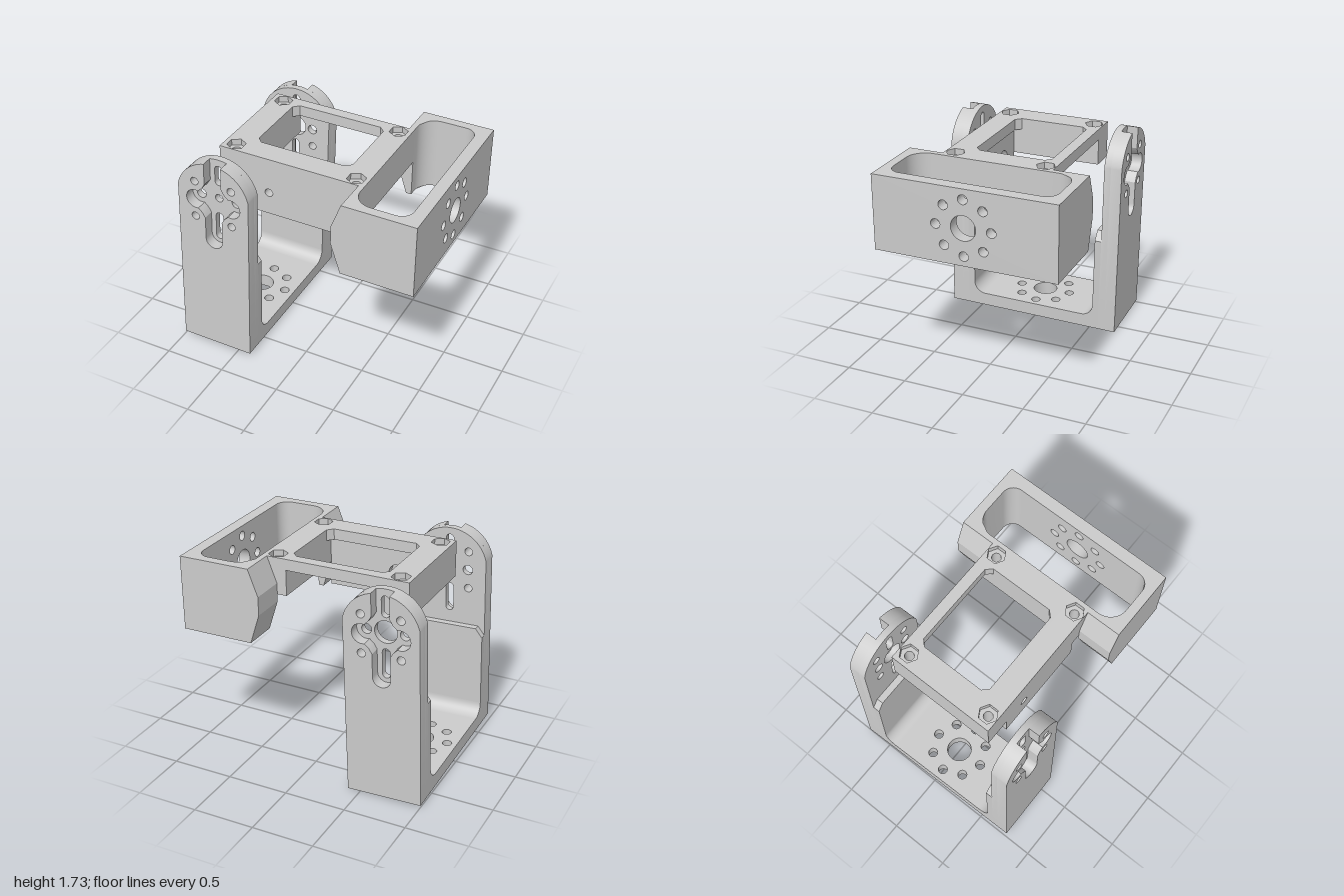
import * as THREE from 'three';
import { toCreasedNormals } from 'three/addons/utils/BufferGeometryUtils.js';

const material = new THREE.MeshStandardMaterial({ color: 0xcccccc });
const V = (x, y) => new THREE.Vector2(x, y);

// Points along an arc
function arc(cx, cy, r, a0, a1, n = 14) {
  return Array.from({ length: n + 1 }, (_, i) => {
    const a = a0 + ((a1 - a0) * i) / n;
    return V(cx + r * Math.cos(a), cy + r * Math.sin(a));
  });
}
const circle = (x, y, r, n = 28) => arc(x, y, r, Math.PI / 2, Math.PI * 2.5, n).slice(0, -1);
const hexagon = (x, y, r) => circle(x, y, r, 6);
const rect = (x0, y0, x1, y1) => [V(x0, y0), V(x1, y0), V(x1, y1), V(x0, y1)];
const slot = (x, y0, y1, r) => [...arc(x, y1 - r, r, 0, Math.PI), ...arc(x, y0 + r, r, Math.PI, Math.PI * 2)];

// Central bore with a ring of eight screw holes
function boltCircle(cx, cy) {
  const holes = [circle(cx, cy, 0.1)];
  for (let i = 0; i < 8; i++) {
    const a = (i * Math.PI) / 4;
    holes.push(circle(cx + 0.222 * Math.cos(a), cy + 0.222 * Math.sin(a), 0.038, 20));
  }
  return holes;
}

function extrude(outline, holes, depth, steps = 1) {
  const shape = new THREE.Shape(outline);
  shape.holes = holes.map((h) => new THREE.Path(h));
  return new THREE.ExtrudeGeometry(shape, { depth, steps, bevelEnabled: false });
}
function mesh(name, geometry) {
  const m = new THREE.Mesh(toCreasedNormals(geometry, 0.3), material);
  m.name = name;
  return m;
}
// Slab with its outline in x,y, from z0 towards +z
const upright = (name, outline, holes, z0, depth) =>
  mesh(name, extrude(outline, holes, depth).translate(0, 0, z0));
// Slab with its outline in x,z, from top downwards
const level = (name, outline, holes, top, depth) =>
  mesh(name, extrude(outline, holes, depth).rotateX(Math.PI / 2).translate(0, top, 0));

const W = 0.3025; // half width of the fork

// One fork arm, outer face towards +z
function forkArm(name, boreRadius) {
  const g = new THREE.Group();
  g.name = name;
  const cy = 1.392, R = 0.31, fy = 1.362, n = 0.072;
  const corner = Math.acos(W / R), notch = Math.acos(n / R);
  const screws = [];
  for (const sx of [-1, 1]) for (const sy of [-1, 1])
    screws.push(circle(sx * 0.157, fy + sy * 0.157, 0.033, 20));

  // Inner web with the through holes
  const outline = [V(-W, 0), V(W, 0), ...arc(0, cy, R, corner, Math.PI - corner, 32)];
  g.add(upright('armWeb', outline, [
    ...screws,
    circle(0, fy, boreRadius),
    circle(-0.152, fy, 0.04), circle(0.152, fy, 0.04),
    slot(0, fy + 0.115, fy + 0.285, 0.032),
    slot(0, fy - 0.375, fy - 0.135, 0.032),
  ], 0.595, 0.055));

  // Outer layer with a cross-shaped pocket open at the top
  const side = [
    V(n, fy + 0.15), V(0.095, fy + 0.11), V(0.13, fy + 0.077),
    ...arc(0.152, fy, 0.08, Math.PI / 2, -Math.PI / 2),
    V(0.13, fy - 0.077), V(0.095, fy - 0.11), V(n, fy - 0.15),
  ];
  const pocket = [
    ...side,
    ...arc(0, fy - 0.41 + n, n, 0, -Math.PI),
    ...side.map((p) => V(-p.x, p.y)).reverse(),
  ];
  g.add(upright('armPocketLayer', [
    V(-W, 0), V(W, 0),
    ...arc(0, cy, R, corner, notch, 14),
    ...pocket,
    ...arc(0, cy, R, Math.PI - notch, Math.PI - corner, 14),
  ], screws, 0.65, 0.09));

  // Thicker lower half with clipped shoulders
  g.add(upright('armThickening',
    [V(-W, 0), V(W, 0), V(W, 0.81), V(W - 0.055, 0.885), V(-W + 0.055, 0.885), V(-W, 0.81)],
    [], 0.54, 0.055));

  // Rounded inside corner against the base
  const fillet = [V(0.54, 0.11), V(0.54, 0.21), ...arc(0.44, 0.21, 0.1, 0, -Math.PI / 2)];
  const fg = extrude(fillet.map((p) => V(-p.x, p.y)), [], 2 * W);
  g.add(mesh('cornerFillet', fg.rotateY(Math.PI / 2).translate(-W, 0, 0)));
  return g;
}

function createFork() {
  const g = new THREE.Group();
  g.name = 'fork';
  g.add(forkArm('frontArm', 0.033));
  const back = forkArm('backArm', 0.09);
  back.rotation.y = Math.PI;
  g.add(back);
  g.add(level('forkBase', rect(-W, -0.54, W, 0.54), boltCircle(0, 0), 0.11, 0.11));
  return g;
}

// Open frame, top face at y = 0
function createFrame() {
  const g = new THREE.Group();
  g.name = 'frame';
  const x0 = -0.76, x1 = 0.455, h = 0.45, c = 0.045;
  const [a, b, d, e] = [-0.55, 0.25, -0.36, 0.26];
  const opening = [
    V(a + c, d), V(b - c, d), V(b, d + c), V(b, e - c),
    V(b - c, e), V(a + c, e), V(a, e - c), V(a, d + c),
  ];
  const at = (make, r, xs) => xs.flatMap((x) => [-0.37, 0.37].map((z) => make(x, z, r)));
  const outer = rect(x0, -h, x1, h);
  g.add(level('nutPocketLayer', outer, [opening, ...at(hexagon, 0.075, [-0.66, 0.355])], 0, 0.05));
  g.add(level('framePlate', outer, [opening, ...at(circle, 0.036, [-0.66, 0.355])], -0.05, 0.04));
  g.add(level('rightEndBlock', rect(x0, -h, a, h), at(circle, 0.036, [-0.66]), -0.09, 0.21));
  g.add(level('leftEndBlock', rect(b, -h, x1, h), at(circle, 0.036, [0.355]), -0.09, 0.21));
  // Front wall with a counterbored hole
  const wall = rect(a, -0.49, b, -0.09);
  g.add(upright('frontWallOuter', wall, [circle(-0.34, -0.3, 0.034)], 0.35, 0.1));
  g.add(upright('frontWallInner', wall, [circle(-0.34, -0.3, 0.08)], 0.29, 0.06));
  return g;
}

// Side bracket: drilled panel and two hooked ends with a faceted edge
function createSideBracket() {
  const g = new THREE.Group();
  g.name = 'sideBracket';
  const H = 0.605, P = Math.PI;
  const panel = extrude(rect(-0.735, -H, 0.735, 0), boltCircle(0, -0.305), 0.1);
  g.add(mesh('drilledPanel', panel.rotateY(P / 2).translate(0.9, 0, 0)));

  const hook = [
    V(0.33, 0.45), V(0.33, 0.735), V(0.9, 0.735),
    ...arc(0.8, 0.56, 0.1, 0, P / 2),
    ...arc(0.605, 0.51, 0.15, P / 2, P), V(0.455, 0.45),
  ];
  const levels = [0, -0.21, -0.36, -H];
  for (const s of [1, -1]) {
    const geo = extrude(hook.map((p) => V(p.x, p.y * s)), [], H, 3).rotateX(P / 2);
    const pos = geo.attributes.position;
    for (let i = 0; i < pos.count; i++) {
      const k = Math.round((-pos.getY(i) / H) * 3);
      pos.setY(i, levels[k]);
      if (pos.getX(i) < 0.34 && (k === 0 || k === 3)) pos.setX(i, 0.41);
    }
    g.add(mesh(s > 0 ? 'frontHook' : 'backHook', geo));
  }
  return g;
}

export function createModel() {
  const model = new THREE.Group();
  model.name = 'panTiltBracket';

  const fork = createFork();
  fork.position.set(-0.69, 0.02, 0.02);
  fork.rotation.set(-0.0176, 0.012, -0.026);

  const arm = new THREE.Group();
  arm.name = 'upperAssembly';
  arm.add(createFrame(), createSideBracket());
  arm.position.set(0, 1.697, -0.03);
  arm.rotation.z = -0.01;

  model.add(fork, arm);
  return model;
}
